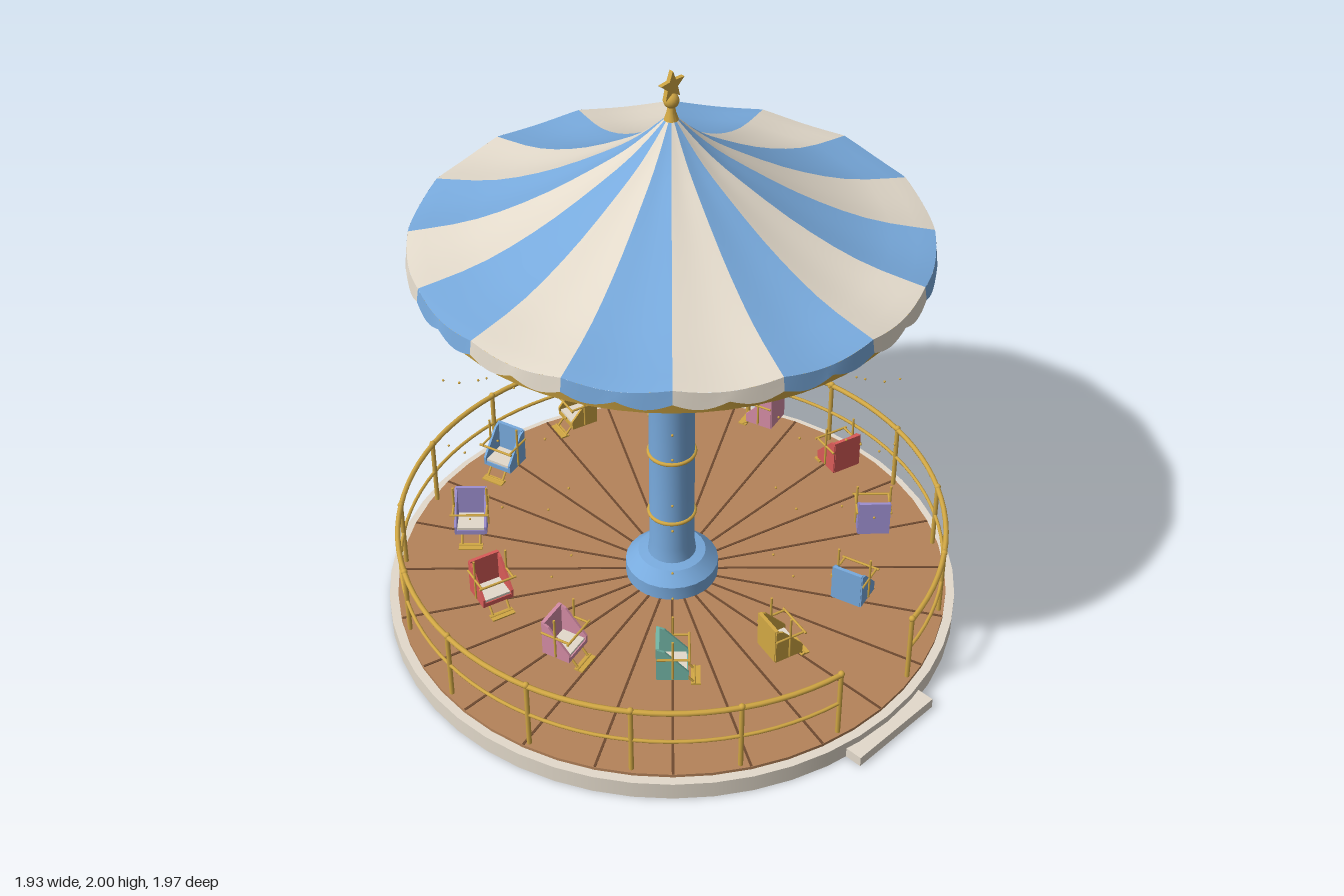
import * as THREE from 'three';
import { mergeGeometries, toCreasedNormals } from 'three/addons/utils/BufferGeometryUtils.js';
import { ParametricGeometry } from 'three/addons/geometries/ParametricGeometry.js';

const mat = (name, color, side = THREE.FrontSide) =>
  Object.assign(new THREE.MeshStandardMaterial({ color, side }), { name });
const blue = mat('sky blue', 0x78aadd, THREE.DoubleSide);
const cream = mat('cream', 0xe3dacb, THREE.DoubleSide);
const gold = mat('gold', 0xd2a844);
const wood = mat('deck wood', 0xb5835a);
const seam = mat('dark wood', 0x6e4a30);
const red = mat('red', 0xd95b58);
const pink = mat('pink', 0xd58da6);
const teal = mat('teal', 0x74b8a8);
const purple = mat('purple', 0x9d8fd0);

const V = (x, y, z) => new THREE.Vector3(x, y, z);
const TAU = Math.PI * 2;

function add(parent, name, geo, material, x = 0, y = 0, z = 0) {
  const m = new THREE.Mesh(geo, material);
  m.name = name;
  m.position.set(x, y, z);
  parent.add(m);
  return m;
}

const box = (w, h, d, x = 0, y = 0, z = 0) => new THREE.BoxGeometry(w, h, d).translate(x, y, z);

// Round bar between two points
function rod(a, b, r) {
  const dir = b.clone().sub(a);
  const q = new THREE.Quaternion().setFromUnitVectors(V(0, 1, 0), dir.clone().normalize());
  const mid = a.clone().add(b).multiplyScalar(0.5);
  return new THREE.CylinderGeometry(r, r, dir.length(), 8).applyQuaternion(q).translate(mid.x, mid.y, mid.z);
}

// Turned profile with crisp rims
const turned = (pts, n = 24) => toCreasedNormals(
  new THREE.LatheGeometry(pts.map(p => new THREE.Vector2(...p)), n), 0.5);

const ring = (r, tube, y, n = 32) => new THREE.TorusGeometry(r, tube, 8, n).rotateX(Math.PI / 2).translate(0, y, 0);

// Platform, deck boards and entrance step
function addPlatform(g) {
  add(g, 'platform', new THREE.CylinderGeometry(0.965, 0.965, 0.062, 48), cream, 0, 0.031, 0);
  add(g, 'deck', new THREE.CylinderGeometry(0.935, 0.935, 0.012, 48), wood, 0, 0.067, 0);
  const seams = [];
  for (let i = 0; i < 24; i++) seams.push(box(0.8, 0.003, 0.008, 0.533, 0.0735, 0).rotateY(i * TAU / 24));
  add(g, 'deckSeams', mergeGeometries(seams), seam);
  add(g, 'entranceStep', box(0.355, 0.036, 0.1, 0, 0.018, 0.955), cream);
}

// Railing with an opening at the front
function addRailing(g) {
  const R = 0.917, gap = 0.187, n = 16, parts = [];
  for (const y of [0.2, 0.322]) {
    parts.push(new THREE.TorusGeometry(R, y > 0.3 ? 0.009 : 0.006, 8, 96, TAU - 2 * gap)
      .rotateZ(Math.PI / 2 + gap).rotateX(Math.PI / 2).translate(0, y, 0));
  }
  for (let i = 0; i <= n; i++) {
    const a = gap + (TAU - 2 * gap) * i / n, x = R * Math.sin(a), z = R * Math.cos(a);
    parts.push(rod(V(x, 0.07, z), V(x, 0.325, z), 0.008));
    parts.push(new THREE.SphereGeometry(0.011, 10, 8).translate(x, 0.326, z));
  }
  add(g, 'railing', mergeGeometries(parts), gold);
}

// Central column with trim rings and capital
function addColumn(g) {
  add(g, 'column', turned([[0, 0.07], [0.158, 0.07], [0.158, 0.125], [0.115, 0.165], [0.082, 0.17],
    [0.076, 0.22], [0.076, 1.2], [0.082, 1.225], [0.098, 1.25], [0, 1.25]]), blue);
  add(g, 'capital', turned([[0, 1.25], [0.1, 1.25], [0.115, 1.28], [0.115, 1.295], [0.09, 1.3],
    [0.09, 1.36], [0.06, 1.42], [0, 1.42]]), cream);
  const rings = [0.34, 0.595, 0.85, 1.105].map(y => ring(0.077, 0.007, y));
  rings.push(ring(0.114, 0.009, 1.29));
  add(g, 'columnRings', mergeGeometries(rings), gold);
  add(g, 'mast', new THREE.CylinderGeometry(0.02, 0.03, 0.43, 12), cream, 0, 1.61, 0);
}

// Striped canopy with a scalloped valance
function addCanopy(g) {
  const n = 16, step = TAU / n;
  const curve = new THREE.SplineCurve([[0.012, 1.85], [0.1, 1.765], [0.2, 1.692], [0.4, 1.575],
    [0.6, 1.492], [0.8, 1.452]].map(p => new THREE.Vector2(...p)));
  const sag = t => 0.014 * Math.abs(Math.sin(t * n / 2));
  const polar = (r, t, y, out) => out.set(r * Math.sin(t), y, -r * Math.cos(t));
  const roof = [[], []], valance = [[], []];
  for (let k = 0; k < n; k++) {
    roof[k % 2].push(new ParametricGeometry((u, v, out) => {
      const t = (k + u) * step, p = curve.getPoint(v);
      polar(p.x, t, p.y - sag(t) * v, out);
    }, 8, 14));
    valance[k % 2].push(new ParametricGeometry((u, v, out) => {
      const t = (k + u) * step, top = 1.452 - sag(t);
      const low = 1.408 - 0.02 * Math.abs(Math.sin(u * TAU));
      polar(0.8 + 0.007 * v, t, top + (low - top) * v, out);
    }, 16, 2));
  }
  [['blue', blue], ['cream', cream]].forEach(([label, m], i) => {
    add(g, label + 'CanopyStripes', mergeGeometries(roof[i]), m);
    add(g, label + 'Valance', mergeGeometries(valance[i]), m);
  });
  add(g, 'fascia', turned([[0.75, 1.352], [0.772, 1.352], [0.782, 1.4], [0.76, 1.4], [0.75, 1.352]], 64), gold);
}

// Ball and star on top
function addFinial(g) {
  add(g, 'finialBase', turned([[0, 1.835], [0.024, 1.835], [0.014, 1.865], [0.01, 1.89], [0, 1.89]], 16), gold);
  add(g, 'finialBall', new THREE.SphereGeometry(0.024, 16, 12), gold, 0, 1.902, 0);
  const s = new THREE.Shape();
  for (let i = 0; i < 10; i++) {
    const r = i % 2 ? 0.022 : 0.05, a = Math.PI / 2 + i * TAU / 10;
    s[i ? 'lineTo' : 'moveTo'](r * Math.cos(a), r * Math.sin(a));
  }
  s.closePath();
  add(g, 'star', new THREE.ExtrudeGeometry(s, { depth: 0.014, bevelEnabled: false }), gold, 0, 1.95, -0.007);
}

// One swing seat facing +z
function makeSeat(color) {
  const seat = new THREE.Group();
  seat.name = 'swingSeat';
  const side = new THREE.Shape([[-0.05, 0.273], [0.048, 0.273], [0.05, 0.305], [-0.025, 0.39], [-0.05, 0.4]]
    .map(p => new THREE.Vector2(...p)));
  const panel = x => new THREE.ExtrudeGeometry(side, { depth: 0.008, bevelEnabled: false })
    .rotateY(-Math.PI / 2).translate(x + 0.004, 0, 0);
  add(seat, 'seatBack', box(0.1, 0.128, 0.012, 0, 0.337, -0.046), color);
  add(seat, 'seatPan', box(0.1, 0.016, 0.096, 0, 0.281, 0), color);
  add(seat, 'cushion', box(0.09, 0.009, 0.08, 0, 0.293, 0.004), cream);
  const bars = [rod(V(-0.065, 0.36, 0.052), V(0.065, 0.36, 0.052), 0.004),
    rod(V(-0.04, 0.242, 0.068), V(0.04, 0.242, 0.068), 0.004), box(0.08, 0.005, 0.03, 0, 0.24, 0.072)];
  for (const s of [-1, 1]) {
    add(seat, 'seatSide', panel(s * 0.05), color);
    bars.push(rod(V(s * 0.056, 0.28, 0), V(s * 0.056, 0.435, 0), 0.004));
    bars.push(rod(V(s * 0.056, 0.36, -0.05), V(s * 0.056, 0.36, 0.052), 0.004));
    bars.push(rod(V(s * 0.03, 0.278, 0.035), V(s * 0.03, 0.242, 0.065), 0.004));
    // Chain links
    for (const y of [0.617, 0.885, 1.152]) bars.push(new THREE.SphereGeometry(0.004, 8, 6).translate(s * 0.056, y, 0));
  }
  add(seat, 'seatBars', mergeGeometries(bars.map(b => b.index ? b.toNonIndexed() : b)), gold);
  return seat;
}

// Overhead arms, each with a seat below
function addSwings(g) {
  const colors = [red, purple, blue, gold, teal, pink], R = 0.675, arms = [], hooks = [];
  for (let i = 0; i < 12; i++) {
    const a = (i + 0.5) * TAU / 12;
    arms.push(box(0.665, 0.018, 0.02, 0.412, 1.342, 0).rotateY(-a));
    for (const d of [-0.056, 0.056])
      hooks.push(new THREE.SphereGeometry(0.007, 8, 6).translate(R + d, 1.331, 0).rotateY(-a));
    const seat = makeSeat(colors[i % 6]);
    seat.position.set(R * Math.cos(a), 0, R * Math.sin(a));
    seat.rotation.y = Math.PI - a;
    g.add(seat);
  }
  add(g, 'overheadArms', mergeGeometries(arms), cream);
  add(g, 'armHooks', mergeGeometries(hooks), gold);
}

export function createModel() {
  const model = new THREE.Group();
  model.name = 'swingCarousel';
  const g = new THREE.Group();
  g.name = 'ride';
  g.position.z = -0.02;
  model.add(g);
  [addPlatform, addRailing, addColumn, addCanopy, addFinial, addSwings].forEach(f => f(g));
  return model;
}
